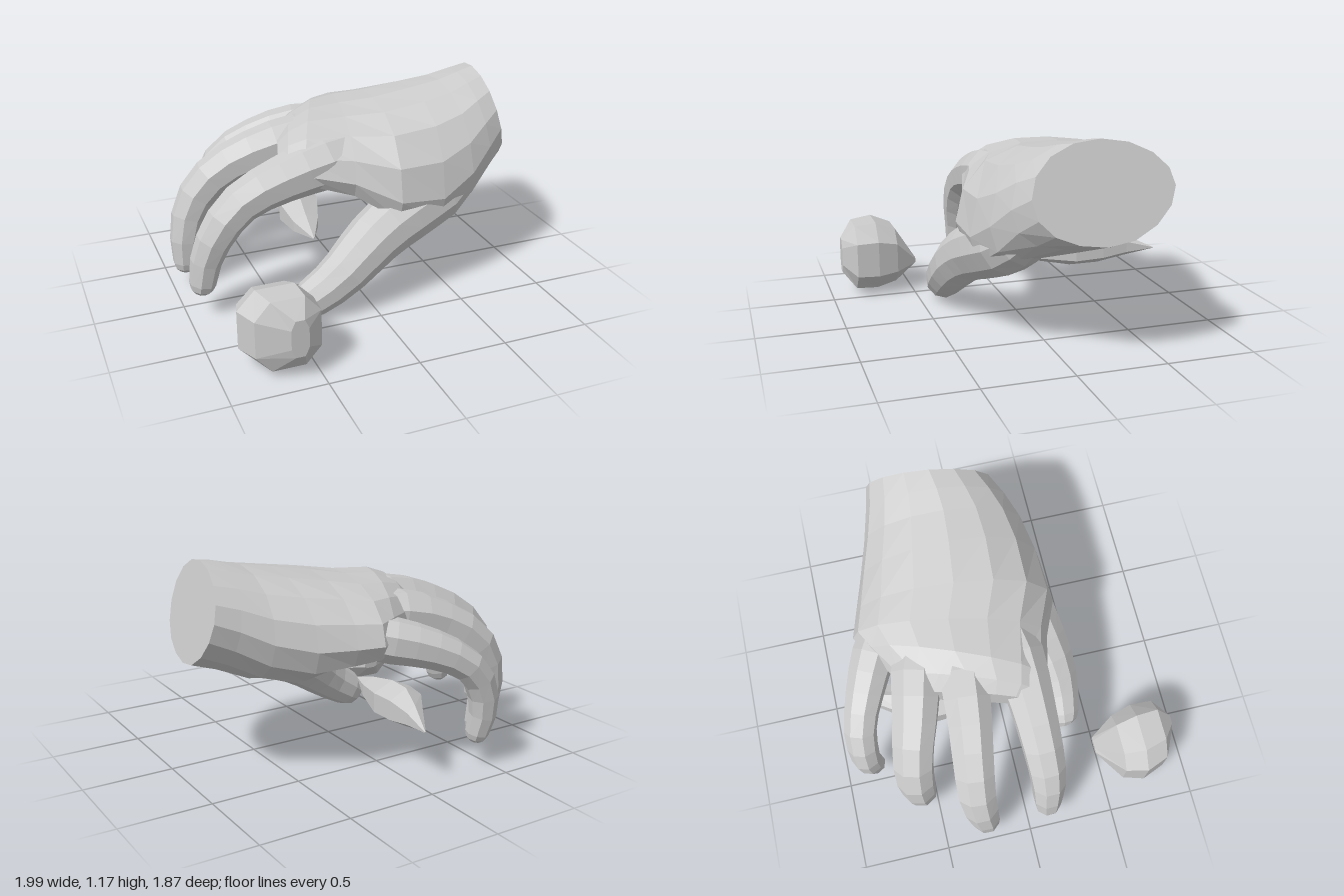
import * as THREE from 'three';

const V = (x, y, z) => new THREE.Vector3(x, y, z);

// Skin a list of equal-length point rings, closing both ends with a fan.
function loft(name, rings) {
  const n = rings[0].length;
  const pos = [], idx = [];
  rings.forEach(r => r.forEach(p => pos.push(p.x, p.y, p.z)));
  for (let i = 0; i < rings.length - 1; i++) {
    for (let j = 0; j < n; j++) {
      const k = (j + 1) % n;
      const a = i * n + j, b = i * n + k, c = a + n, d = b + n;
      idx.push(a, b, d, a, d, c);
    }
  }
  [0, rings.length - 1].forEach((ri, end) => {
    const c = V(0, 0, 0);
    rings[ri].forEach(p => c.add(p));
    c.divideScalar(n);
    const ci = pos.length / 3;
    pos.push(c.x, c.y, c.z);
    for (let j = 0; j < n; j++) {
      const a = ri * n + j, b = ri * n + (j + 1) % n;
      if (end) idx.push(ci, a, b);
      else idx.push(ci, b, a);
    }
  });
  const g = new THREE.BufferGeometry();
  g.setAttribute('position', new THREE.Float32BufferAttribute(pos, 3));
  g.setIndex(idx);
  g.computeVertexNormals();
  const mesh = new THREE.Mesh(g, new THREE.MeshStandardMaterial({ color: 0xcccccc, flatShading: true }));
  mesh.name = name;
  return mesh;
}

// Tapered digit along a curve, with a domed tip; its root is buried in the palm.
function digit(name, points, radii, sides = 8) {
  const curve = new THREE.CatmullRomCurve3(points.map(p => V(...p)));
  const steps = 11;
  const fr = curve.computeFrenetFrames(steps, false);
  const ring = (c, r, i) => Array.from({ length: sides }, (_, j) => {
    const a = (j + 0.5) / sides * Math.PI * 2;
    return c.clone()
      .addScaledVector(fr.normals[i], r * Math.cos(a))
      .addScaledVector(fr.binormals[i], r * Math.sin(a));
  });
  const radiusAt = t => {
    const f = t * (radii.length - 1), k = Math.min(Math.floor(f), radii.length - 2);
    return THREE.MathUtils.lerp(radii[k], radii[k + 1], f - k);
  };
  const rings = [];
  for (let i = 0; i <= steps; i++) rings.push(ring(curve.getPointAt(i / steps), radiusAt(i / steps), i));
  const tip = curve.getPointAt(1), r = radii[radii.length - 1];
  [[0.5, 0.82], [0.8, 0.45]].forEach(([d, s]) =>
    rings.push(ring(tip.clone().addScaledVector(fr.tangents[steps], r * d), r * s, steps)));
  return loft(name, rings);
}

// Back of hand: arched sections whose side edges droop, hollowed underneath.
function palm() {
  // x, back z, front z, centre y, half height, front droop, back droop, x shear by z, x shear by y, hollow
  const sections = [
    [0.92, -0.52, 0.20, 0.91, 0.26, 0.04, -0.05, -0.14, -0.23, 0],
    [0.80, -0.55, 0.27, 0.88, 0.27, 0.12, -0.01, -0.10, -0.18, 0],
    [0.65, -0.60, 0.34, 0.83, 0.29, 0.25, 0.05, -0.06, -0.08, 0],
    [0.45, -0.67, 0.39, 0.81, 0.28, 0.42, 0.12, -0.04, 0, 0],
    [0.22, -0.73, 0.40, 0.82, 0.23, 0.40, 0.14, -0.10, 0, 0.07],
    [0.02, -0.77, 0.30, 0.84, 0.18, 0.22, 0.17, -0.20, 0, 0.07],
    [-0.18, -0.71, 0.23, 0.85, 0.155, 0.12, 0.15, -0.40, 0, 0.03],
    [-0.30, -0.58, 0.18, 0.835, 0.125, 0.08, 0.10, -0.35, 0, 0],
    [-0.37, -0.50, 0.12, 0.81, 0.08, 0.05, 0.07, -0.30, 0, 0],
  ];
  const sides = 16;
  return loft('palm', sections.map(([x, zb, zf, yc, h, dF, dB, sz, sy, hollow]) =>
    Array.from({ length: sides }, (_, j) => {
      const a = j / sides * Math.PI * 2, u = Math.cos(a), s = Math.sin(a);
      const z = (zb + zf) / 2 + (zf - zb) / 2 * u;
      const y = yc + h * s - (u > 0 ? dF : dB) * u * u * (0.5 - 0.5 * s)
        + hollow * Math.max(0, -s) * (1 - u * u);
      return V(x + sz * (z + 0.16) + sy * (y - yc), y, z);
    })));
}

// Faceted stone from rings stacked along z: [z, centre x, centre y, half width, half height]
function stone(name, rows, sides, power) {
  const q = t => Math.sign(t) * Math.abs(t) ** power;
  return loft(name, rows.map(([z, cx, cy, rx, ry]) =>
    Array.from({ length: sides }, (_, j) => {
      const a = (j + 0.5) / sides * Math.PI * 2;
      return V(cx + rx * q(Math.cos(a)), cy + ry * q(Math.sin(a)), z);
    })));
}

export function createModel() {
  const model = new THREE.Group();
  model.name = 'handWithStones';

  const hand = new THREE.Group();
  hand.name = 'hand';
  hand.add(palm());
  hand.add(digit('indexFinger',
    [[0.2, 0.84, 0.02], [-0.12, 0.81, 0.09], [-0.42, 0.75, 0.115], [-0.67, 0.65, 0.125], [-0.81, 0.5, 0.13], [-0.885, 0.33, 0.12], [-0.91, 0.2, 0.12]],
    [0.06, 0.14, 0.155, 0.135, 0.12, 0.11, 0.095, 0.075]));
  hand.add(digit('middleFinger',
    [[0.18, 0.85, -0.2], [-0.12, 0.85, -0.21], [-0.45, 0.8, -0.235], [-0.71, 0.675, -0.27], [-0.85, 0.51, -0.28], [-0.91, 0.33, -0.26], [-0.92, 0.16, -0.25]],
    [0.06, 0.13, 0.145, 0.13, 0.12, 0.112, 0.095, 0.075]));
  hand.add(digit('ringFinger',
    [[0.2, 0.84, -0.34], [-0.1, 0.82, -0.45], [-0.36, 0.765, -0.515], [-0.57, 0.645, -0.58], [-0.665, 0.48, -0.595], [-0.685, 0.29, -0.585], [-0.66, 0.115, -0.57]],
    [0.06, 0.13, 0.145, 0.13, 0.118, 0.11, 0.095, 0.075]));
  hand.add(digit('littleFinger',
    [[0.3, 0.8, -0.5], [0.06, 0.755, -0.655], [-0.16, 0.695, -0.765], [-0.33, 0.605, -0.835], [-0.43, 0.47, -0.85], [-0.455, 0.33, -0.845], [-0.44, 0.19, -0.82]],
    [0.05, 0.12, 0.125, 0.11, 0.095, 0.088, 0.08, 0.065]));
  hand.add(digit('thumb',
    [[0.74, 0.75, 0.06], [0.52, 0.59, 0.18], [0.29, 0.5, 0.235], [0.09, 0.415, 0.285], [-0.06, 0.32, 0.33], [-0.2, 0.21, 0.355], [-0.355, 0.11, 0.35]],
    [0.08, 0.15, 0.175, 0.175, 0.165, 0.15, 0.13, 0.11], 10));
  model.add(hand);

  // Rounded stone in front, with a point towards the hand
  model.add(stone('roundStone', [
    [0.475, -0.63, 0.18, 0.05, 0.02],
    [0.6, -0.68, 0.23, 0.18, 0.18],
    [0.72, -0.68, 0.24, 0.215, 0.22],
    [0.85, -0.655, 0.24, 0.185, 0.21],
    [0.93, -0.62, 0.25, 0.05, 0.11],
  ], 8, 0.75));

  // Thin shard under the palm, pointed at both ends
  model.add(stone('shard', [
    [-0.89, -0.03, 0.3, 0.004, 0.004],
    [-0.72, -0.09, 0.315, 0.06, 0.065],
    [-0.57, -0.14, 0.315, 0.12, 0.11],
    [-0.4, -0.17, 0.305, 0.14, 0.11],
    [-0.18, -0.2, 0.3, 0.09, 0.065],
    [0.02, -0.22, 0.3, 0.004, 0.004],
  ], 6, 1));

  return model;
}
